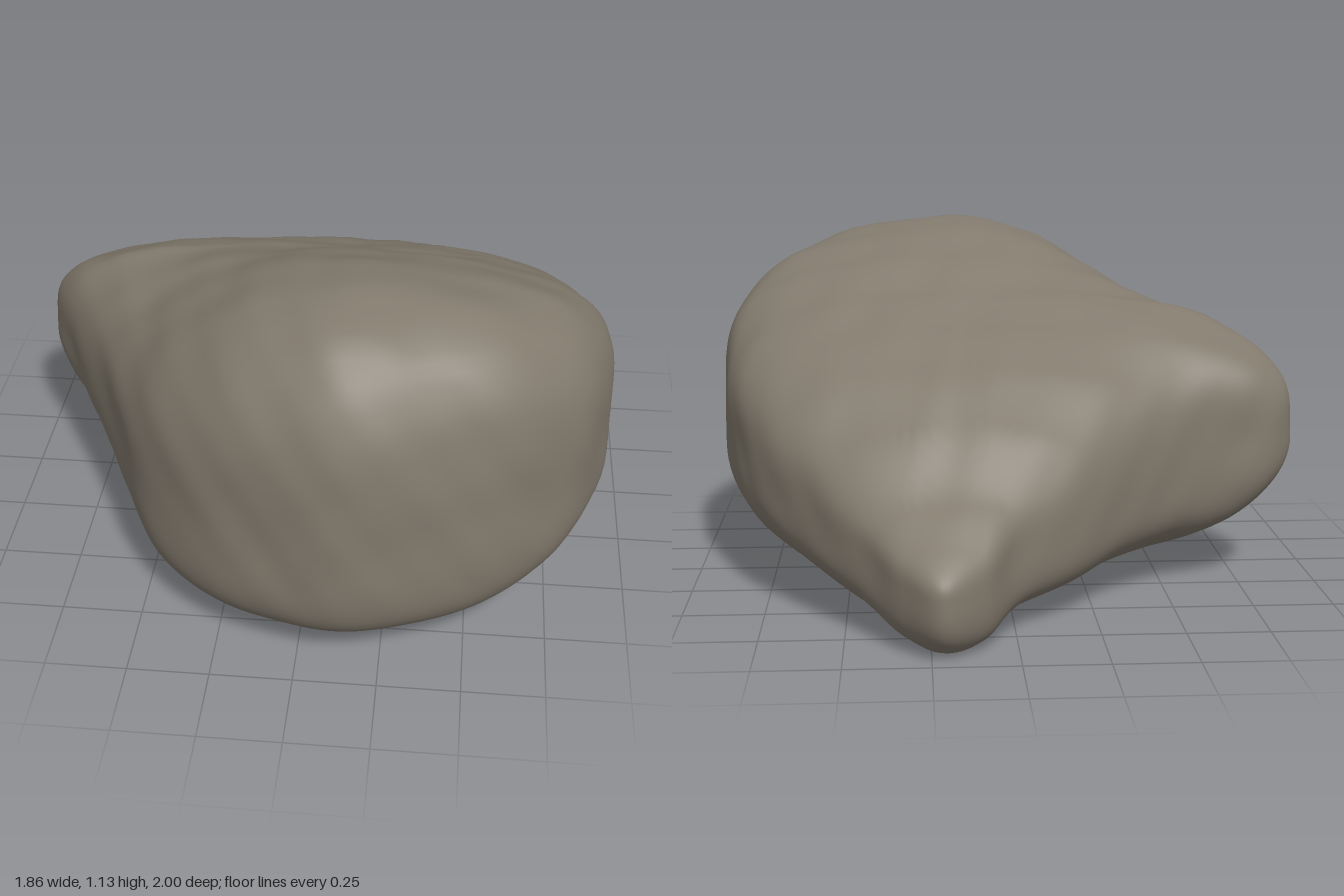
import * as THREE from 'three';

// Widest outline of the boulder, clockwise from the back tip:
// x, z, height of the widest point, roundness above, roundness below
const OUTLINE = [
  [0.22, -1.0, 0.2, 3, 3], [0.33, -0.91, 0.22, 3.4, 3.4], [0.42, -0.79, 0.26, 3.6, 4],
  [0.6, -0.58, 0.34, 3.8, 4], [0.78, -0.34, 0.42, 4, 3.8], [0.88, -0.1, 0.48, 4.2, 3.8],
  [0.925, 0.2, 0.53, 4.3, 3.8], [0.89, 0.45, 0.53, 4.1, 3.8], [0.79, 0.66, 0.53, 3.8, 4],
  [0.61, 0.83, 0.53, 3.8, 4.5], [0.4, 0.92, 0.53, 3.8, 5], [0.14, 0.99, 0.53, 3.9, 5],
  [-0.07, 0.955, 0.52, 3.9, 5], [-0.27, 0.87, 0.5, 3.9, 5], [-0.46, 0.7, 0.48, 3.8, 4.8],
  [-0.6, 0.46, 0.48, 3.8, 4.2], [-0.71, 0.25, 0.49, 3.8, 3.2], [-0.82, 0.05, 0.5, 3.8, 2.6],
  [-0.93, -0.15, 0.51, 3.5, 2.3], [-0.85, -0.26, 0.5, 4, 2.6], [-0.6, -0.33, 0.45, 4.4, 3.2],
  [-0.4, -0.45, 0.4, 4.4, 3.6], [-0.2, -0.63, 0.34, 4.2, 4], [0, -0.78, 0.28, 4, 4],
  [0.1, -0.92, 0.22, 3.4, 3.4],
];
// Heights along z of the sloping top and of the underside
const TOP = [[-1, 0.36], [-0.9, 0.4], [-0.75, 0.48], [-0.6, 0.64], [-0.4, 0.765], [-0.2, 0.855],
  [0, 0.94], [0.2, 1.04], [0.4, 1.12], [0.6, 1.17], [0.8, 1.18], [1, 1.13]];
const BASE = [[-1, -0.09], [-0.9, -0.07], [-0.7, 0.035], [-0.45, 0.08], [0.4, 0.08], [0.7, 0.055], [1, 0.06]];
const CX = 0.1, CZ = 0.05;

function along(table, z) {
  for (let i = 1; i < table.length; i++) {
    const [z0, y0] = table[i - 1], [z1, y1] = table[i];
    if (z <= z1) {
      const t = Math.max(0, (z - z0) / (z1 - z0));
      return THREE.MathUtils.lerp(y0, y1, 0.7 * t + 0.3 * t * t * (3 - 2 * t));
    }
  }
  return table[table.length - 1][1];
}
// The crown falls away to both sides, more so at the front left
function topHeight(x, z) {
  const fall = x > 0.15 ? 0.12 : 0.03 + Math.max(0, z);
  return along(TOP, z) - fall * (x - 0.15) ** 2;
}
const baseHeight = (x, z) => along(BASE, z) + 0.2 * Math.max(0, x - 0.2) ** 2;

// Gentle weathering: soft dents on the upper parts
function dents(x, y, z) {
  const broad = Math.sin(6 * x + 3 * y + 1.3) * Math.sin(7 * z - 4 * y + 0.5);
  const mid = Math.sin(13 * x - 5 * z + 4 * y) * Math.sin(9 * y + 12 * z + 3 * x + 1);
  const fine = Math.sin(27 * x + 11 * z) * Math.sin(24 * y - 19 * z + 9 * x);
  const fade = THREE.MathUtils.smoothstep(y, 0.12, 0.4);
  return fade * (0.005 * broad + 0.004 * mid + 0.002 * fine);
}

function boulderGeometry() {
  const around = 192, rows = 80;
  const curve = (pick) => new THREE.CatmullRomCurve3(OUTLINE.map(pick), true);
  const rim = curve(([x, z, y]) => new THREE.Vector3(x, y, z));
  const round = curve(([, , , a, b]) => new THREE.Vector3(a, b, 0));

  // Cross-section rings from the top pole to the bottom pole
  const pos = [CX, topHeight(CX, CZ), CZ];
  const rims = [], rounds = [];
  for (let i = 0; i < around; i++) {
    rims.push(rim.getPoint(i / around));
    rounds.push(round.getPoint(i / around));
  }
  for (let j = 1; j < rows; j++) {
    const a = (j / rows) * Math.PI, sin = Math.sin(a), cos = Math.cos(a);
    for (let i = 0; i < around; i++) {
      const p = rims[i], n = cos >= 0 ? rounds[i].x : rounds[i].y;
      const len = (sin ** n + Math.abs(cos) ** n) ** (1 / n);
      const s = sin / len, h = Math.abs(cos) / len;
      const x = CX + (p.x - CX) * s, z = CZ + (p.z - CZ) * s;
      const end = cos >= 0 ? Math.max(topHeight(x, z), p.y + 0.03) : Math.min(baseHeight(x, z), p.y);
      pos.push(x, p.y + (end - p.y) * h, z);
    }
  }
  pos.push(CX, baseHeight(CX, CZ), CZ);

  const index = [], last = pos.length / 3 - 1;
  const at = (j, i) => 1 + (j - 1) * around + (i % around);
  for (let i = 0; i < around; i++) {
    index.push(0, at(1, i + 1), at(1, i));
    for (let j = 1; j < rows - 1; j++) {
      index.push(at(j, i), at(j, i + 1), at(j + 1, i));
      index.push(at(j, i + 1), at(j + 1, i + 1), at(j + 1, i));
    }
    index.push(last, at(rows - 1, i), at(rows - 1, i + 1));
  }
  const geo = new THREE.BufferGeometry();
  geo.setAttribute('position', new THREE.Float32BufferAttribute(pos, 3));
  geo.setIndex(index);
  geo.computeVertexNormals();

  // Push the surface along its normals, then smooth again
  const P = geo.attributes.position, N = geo.attributes.normal;
  for (let k = 0; k < P.count; k++) {
    const x = P.getX(k), y = P.getY(k), z = P.getZ(k), d = dents(x, y, z);
    P.setXYZ(k, x + N.getX(k) * d, Math.max(0, y + N.getY(k) * d), z + N.getZ(k) * d);
  }
  geo.computeVertexNormals();
  return geo;
}

export function createModel() {
  const group = new THREE.Group();
  group.name = 'rock';
  const stone = new THREE.MeshStandardMaterial({ color: 0x827a6d });
  stone.name = 'stone';
  const boulder = new THREE.Mesh(boulderGeometry(), stone);
  boulder.name = 'boulder';
  group.add(boulder);
  return group;
}
